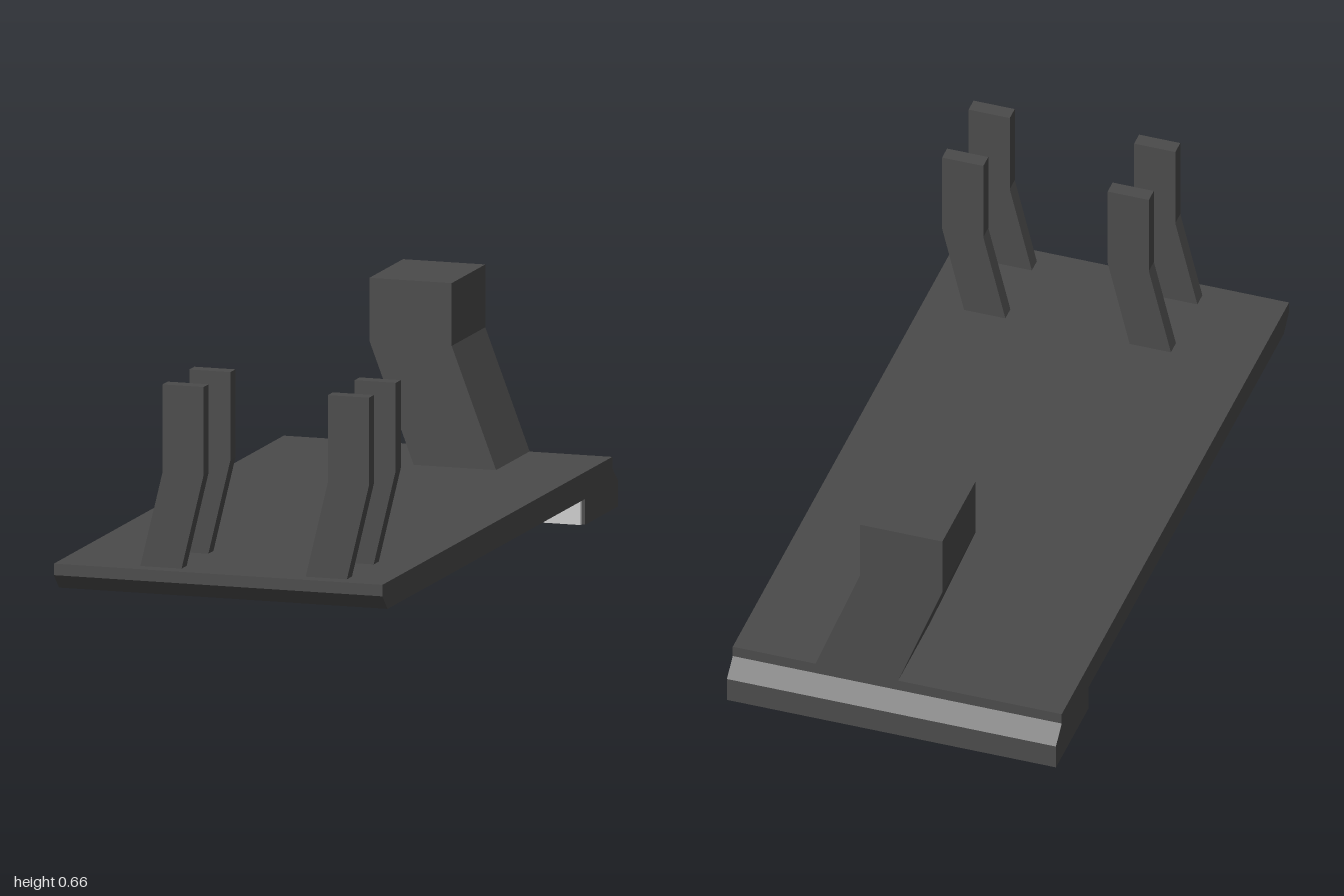
import * as THREE from 'three';

const HALF = 0.475; // half the width of the base
const dark = new THREE.MeshStandardMaterial({ color: 0x4a4a4a, flatShading: true });
const light = new THREE.MeshStandardMaterial({ color: 0xcccccc, flatShading: true });

function polygon(points) {
  return new THREE.Shape(points.map(([x, y]) => new THREE.Vector2(x, y)));
}

function add(group, name, geometry, material = dark) {
  const mesh = new THREE.Mesh(geometry, material);
  mesh.name = name;
  group.add(mesh);
  return mesh;
}

// Box given by its lower and upper limits on each axis
function box(x0, x1, y0, y1, z0, z1) {
  return new THREE.BoxGeometry(x1 - x0, y1 - y0, z1 - z0)
    .translate((x0 + x1) / 2, (y0 + y1) / 2, (z0 + z1) / 2);
}

// Post that leans sideways up to the knee, then rises straight
function bentPost(x, width, shift, base, knee, top, z0, z1) {
  const shape = polygon([
    [x, base], [x + width, base], [x + width + shift, knee],
    [x + width + shift, top], [x + shift, top], [x + shift, knee],
  ]);
  return new THREE.ExtrudeGeometry(shape, { depth: z1 - z0, bevelEnabled: false })
    .translate(0, 0, z0);
}

export function createModel() {
  const model = new THREE.Group();
  model.name = 'bracketPlate';

  // Upper layer of the base plate
  add(model, 'plateTop', box(-HALF, HALF, 0.115, 0.147, -0.95, 1));

  // Lower layer with a slot; its front edge is chamfered underneath
  const outline = polygon([[-HALF, -0.95], [HALF, -0.95], [HALF, 1], [-HALF, 1]]);
  outline.holes.push(polygon([[-0.02, 0.69], [-0.02, 0.77], [0.2, 0.77], [0.2, 0.69]]));
  const lower = new THREE.ExtrudeGeometry(outline, { depth: 0.043, bevelEnabled: false })
    .rotateX(Math.PI / 2).translate(0, 0.115, 0);
  const pos = lower.attributes.position;
  for (let i = 0; i < pos.count; i++) {
    if (pos.getZ(i) > 0.99 && pos.getY(i) < 0.08) pos.setZ(i, 0.955);
  }
  lower.computeVertexNormals();
  add(model, 'plateBottom', lower);
  add(model, 'slotLining', box(-0.02, 0.2, 0.108, 0.116, 0.69, 0.77), light);

  // Rear foot with a sloping shoulder, extruded across the width
  const foot = polygon([
    [0.72, 0], [1, 0], [1, 0.072], [0.95, 0.115], [0.94, 0.115], [0.94, 0.073], [0.72, 0.073],
  ]);
  add(model, 'rearFoot', new THREE.ExtrudeGeometry(foot, { depth: 2 * HALF, bevelEnabled: false })
    .rotateY(Math.PI / 2).translate(-HALF, 0, 0));
  add(model, 'footFrontPanel', box(-0.465, 0.465, 0, 0.072, -0.73, -0.711), light);

  // Wide rear post
  add(model, 'rearPost', bentPost(0, 0.238, -0.131, 0.14, 0.485, 0.66, -0.952, -0.667));

  // Two pairs of slim front posts
  for (const x of [-0.24, 0.238]) {
    for (const z of [0.685, 0.912]) {
      add(model, 'frontPost', bentPost(x, 0.119, 0.064, 0.146, 0.412, 0.657, z, z + 0.043));
    }
  }
  return model;
}
